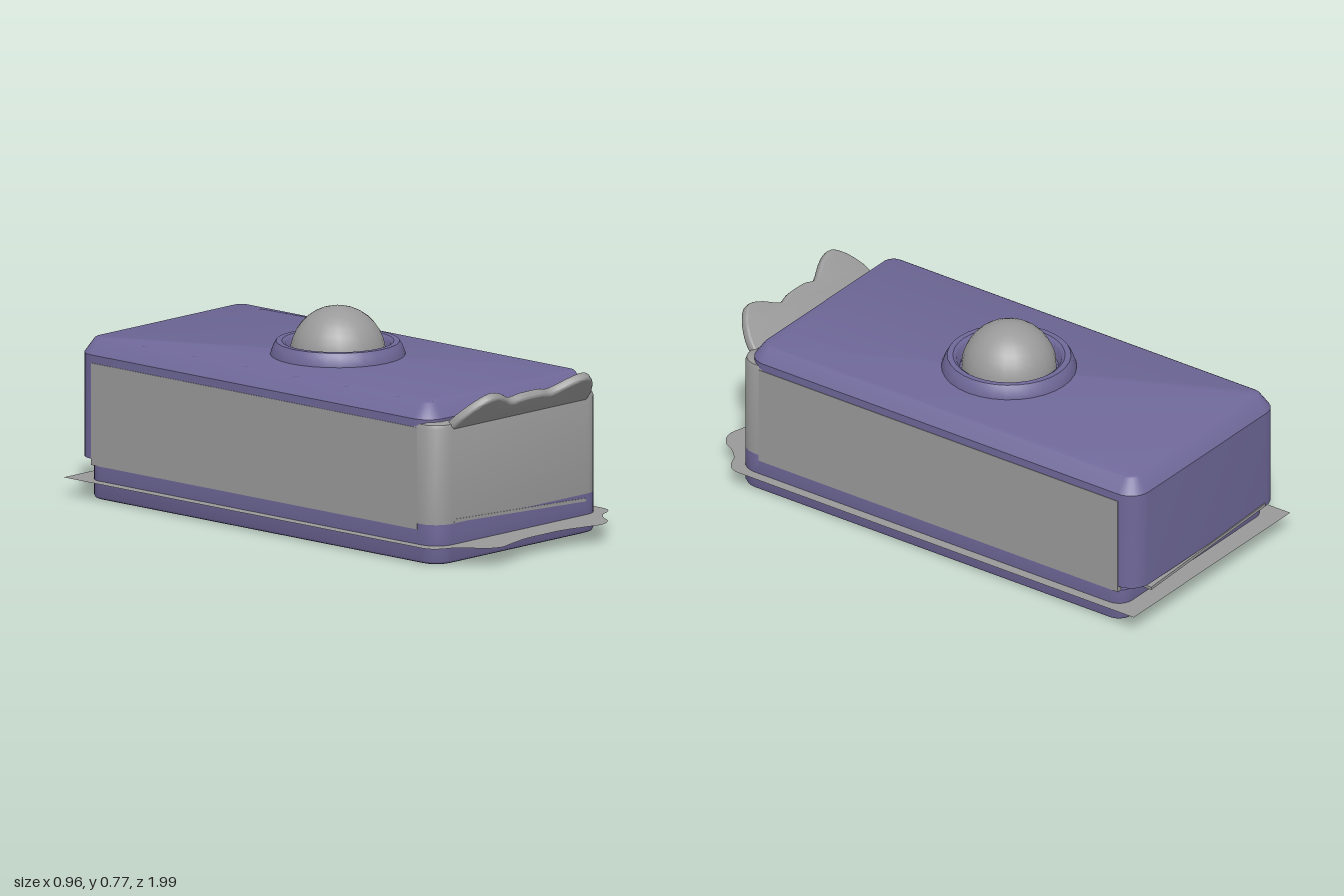
import * as THREE from 'three';
import { toCreasedNormals } from 'three/addons/utils/BufferGeometryUtils.js';

const shell = new THREE.MeshStandardMaterial({ color: 0x6f6899 });
shell.name = 'muted purple';
const grey = new THREE.MeshStandardMaterial({ color: 0x9a9a9a });
grey.name = 'grey';
const sheetGrey = new THREE.MeshStandardMaterial({ color: 0x999999, side: THREE.DoubleSide });
sheetGrey.name = 'sheet grey';

// Stacked rounded-rectangle sections; levels are [y, inset], rf/rb are front and back corner radii
function loft(halfW, zBack, zFront, rf, rb, levels) {
  const steps = 6, pos = [], index = [];
  const corners = [[1, 1, rf, 0], [-1, 1, rf, 1], [-1, -1, rb, 2], [1, -1, rb, 3]];
  const n = corners.length * (steps + 1);
  for (const [y, inset] of levels) {
    for (const [sx, sz, r, q] of corners) {
      const rr = Math.max(r - inset, 0.001);
      const cx = sx * (halfW - inset - rr);
      const cz = sz > 0 ? zFront - inset - rr : zBack + inset + rr;
      for (let i = 0; i <= steps; i++) {
        const a = (q + i / steps) * Math.PI / 2;
        pos.push(cx + rr * Math.cos(a), y, cz + rr * Math.sin(a));
      }
    }
  }
  for (let l = 0; l < levels.length - 1; l++) {
    for (let i = 0; i < n; i++) {
      const a = l * n + i, b = l * n + (i + 1) % n;
      index.push(a, a + n, b, b, a + n, b + n);
    }
  }
  const top = (levels.length - 1) * n;
  for (let i = 1; i < n - 1; i++) {
    index.push(0, i, i + 1);
    index.push(top, top + i + 1, top + i);
  }
  const g = new THREE.BufferGeometry();
  g.setAttribute('position', new THREE.Float32BufferAttribute(pos, 3));
  g.setIndex(index);
  return toCreasedNormals(g, 0.6);
}

// Mirrors the right half of an outline and smooths it into one curve from +x to -x
function mirroredCurve(half) {
  const pts = half.map(([x, y]) => new THREE.Vector2(x, y));
  for (let i = half.length - 2; i >= 0; i--) pts.push(new THREE.Vector2(-half[i][0], half[i][1]));
  return new THREE.SplineCurve(pts).getPoints(48);
}

export function createModel() {
  const group = new THREE.Group();
  const add = (name, geometry, material) => {
    const mesh = new THREE.Mesh(geometry, material);
    mesh.name = name;
    group.add(mesh);
    return mesh;
  };

  // Base tray and its raised front edge
  add('baseTray', loft(0.44, -0.92, 0.83, 0.08, 0.06,
    [[0, 0.014], [0.004, 0.005], [0.014, 0], [0.125, 0]]), shell);
  add('baseFrontEdge', loft(0.44, 0.73, 0.83, 0.08, 0.002, [[0.1, 0], [0.148, 0]]), shell);

  // Upper cover with bevelled top
  add('cover', loft(0.44, -0.98, 0.79, 0.08, 0.08,
    [[0.148, 0], [0.535, 0], [0.588, 0.038], [0.592, 0.046]]), shell);

  // Side panels and front block
  for (const s of [-1, 1]) {
    const panel = add(s > 0 ? 'leftPanel' : 'rightPanel', new THREE.BoxGeometry(0.02, 0.38, 1.63), grey);
    panel.position.set(s * 0.432, 0.315, -0.085);
  }
  add('frontBlock', loft(0.441, 0.69, 0.83, 0.08, 0.002,
    [[0.148, 0], [0.503, 0], [0.518, 0.006], [0.525, 0.02]]), grey);

  // Slightly tilted inner sheet showing at the front and back
  const inner = add('innerSheet', new THREE.BoxGeometry(0.7, 0.012, 1.816), grey);
  inner.position.set(0, 0.142, -0.076);
  inner.rotation.z = -0.045;

  // Thin skirt with a wavy front edge
  const skirtShape = new THREE.Shape();
  skirtShape.moveTo(-0.48, 1);
  skirtShape.lineTo(-0.48, -0.8);
  skirtShape.quadraticCurveTo(-0.475, -0.85, -0.4, -0.87);
  const wave = mirroredCurve([[0.4, -0.87], [0.36, -0.91], [0.33, -0.96], [0.27, -0.99], [0.2, -0.975],
    [0.1, -0.953], [0, -0.95]]);
  wave.reverse().forEach((p) => skirtShape.lineTo(p.x, p.y));
  skirtShape.quadraticCurveTo(0.475, -0.85, 0.48, -0.8);
  skirtShape.lineTo(0.48, 1);
  const skirt = add('skirt', new THREE.ShapeGeometry(skirtShape), sheetGrey);
  skirt.rotation.x = -Math.PI / 2;
  skirt.position.y = 0.07;

  // Scalloped lip leaning forward above the front block
  const lipShape = new THREE.Shape();
  const lipCurve = mirroredCurve([[0.35, 0.008], [0.338, 0.05], [0.3, 0.11], [0.25, 0.147], [0.19, 0.132],
    [0.11, 0.088], [0.05, 0.098], [0, 0.1]]);
  lipShape.moveTo(-0.35, 0);
  lipShape.lineTo(0.35, 0);
  lipCurve.forEach((p) => lipShape.lineTo(p.x, p.y));
  const lipGeo = new THREE.ExtrudeGeometry(lipShape, {
    depth: 0.015, bevelEnabled: true, bevelThickness: 0.01, bevelSize: 0.01, bevelSegments: 3,
  });
  lipGeo.translate(0, 0.01, -0.025);
  const lip = add('frontLip', toCreasedNormals(lipGeo, 0.7), grey);
  lip.rotation.x = Math.PI / 4;
  lip.position.set(0, 0.49, 0.82);

  // Collar and dome button
  const collarProfile = [[0.247, 0.58], [0.247, 0.596], [0.236, 0.625], [0.226, 0.641], [0.205, 0.641],
    [0.193, 0.632], [0.18, 0.595]].map(([x, y]) => new THREE.Vector2(x, y));
  const collar = add('collar', toCreasedNormals(new THREE.LatheGeometry(collarProfile, 32), 0.6), shell);
  collar.position.z = -0.08;
  const dome = add('domeButton',
    new THREE.SphereGeometry(0.175, 24, 10, 0, Math.PI * 2, 0, Math.PI * 0.55), grey);
  dome.position.set(0, 0.595, -0.08);

  return group;
}
